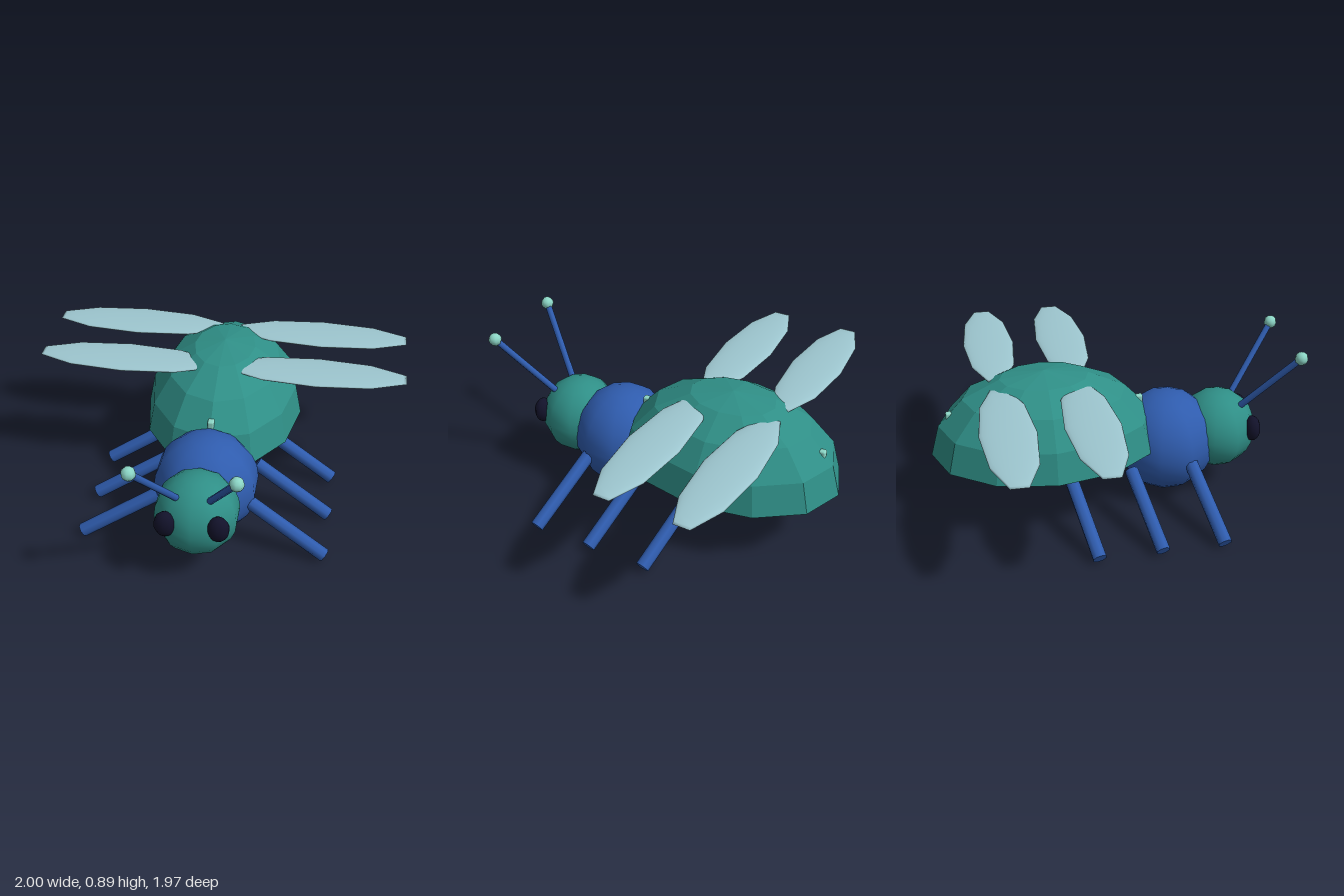
import * as THREE from 'three';
import { RoundedBoxGeometry } from 'three/addons/geometries/RoundedBoxGeometry.js';

const mat = (name, color, flatShading = false) => {
  const m = new THREE.MeshStandardMaterial({ color, flatShading });
  m.name = name;
  return m;
};

export function createModel() {
  const model = new THREE.Group();
  model.name = 'beetle';
  const teal = mat('teal', 0x2f8f87);
  const shellTeal = mat('shellTeal', 0x2f8f87, true);
  const blue = mat('blue', 0x2f5cae);
  const mint = mat('mint', 0x8cd6c6);
  const wingBlue = mat('wingBlue', 0x9dc6cf);
  const black = mat('eyeBlack', 0x12122a);

  const add = (name, geometry, material, pos = [0, 0, 0]) => {
    const mesh = new THREE.Mesh(geometry, material);
    mesh.name = name;
    mesh.position.set(...pos);
    model.add(mesh);
    return mesh;
  };

  // Ten-sided ball with a corner facing front, stretched to its radii
  const ball = (rx, ry, rz, w = 10, h = 12) =>
    new THREE.SphereGeometry(1, w, h).rotateY(Math.PI / 2).scale(rx, ry, rz);

  // Straight round bar between two points
  const rod = (name, a, b, radius, sides, material) => {
    const from = new THREE.Vector3(...a), to = new THREE.Vector3(...b);
    const dir = to.clone().sub(from);
    const mesh = add(name, new THREE.CylinderGeometry(radius, radius, dir.length(), sides), material);
    mesh.position.copy(from).add(to).multiplyScalar(0.5);
    mesh.quaternion.setFromUnitVectors(new THREE.Vector3(0, 1, 0), dir.normalize());
  };

  // Body
  add('thorax', ball(0.28, 0.283, 0.28), blue, [0, 0.32, 0.29]);
  add('head', ball(0.22, 0.22, 0.215), teal, [0, 0.36, 0.58]);

  // Faceted half-dome shell, closed underneath
  const dome = new THREE.SphereGeometry(1, 12, 4, 0, Math.PI * 2, 0, Math.PI / 2);
  add('shell', dome.scale(0.44, 0.44, 0.615), shellTeal, [0, 0.36, -0.375]);
  const base = new THREE.CircleGeometry(1, 12).rotateX(Math.PI / 2);
  add('shellUnderside', base.scale(0.44, 1, 0.615), shellTeal, [0, 0.36, -0.375]);

  // Thin keel running along the middle of the shell
  add('keel', new RoundedBoxGeometry(0.035, 0.32, 1.055, 2, 0.01), mint, [0, 0.445, -0.3725]);

  for (const s of [1, -1]) {
    const side = s > 0 ? 'left' : 'right';

    // Eyes and antennae
    add(`${side}Eye`, ball(0.057, 0.072, 0.045), black, [s * 0.132, 0.4, 0.745]);
    rod(`${side}Antenna`, [s * 0.08, 0.515, 0.68], [s * 0.245, 0.855, 0.945], 0.018, 8, blue);
    add(`${side}AntennaTip`, ball(0.036, 0.036, 0.036, 8, 6), mint, [s * 0.245, 0.855, 0.945]);

    // Wings
    [['Front', -0.21], ['Rear', -0.62]].forEach(([n, z]) =>
      add(`${side}${n}Wing`, ball(0.5, 0.02, 0.14), wingBlue, [s * 0.525, 0.735, z]));

    // Legs
    [['Front', 0.375], ['Middle', 0.045], ['Hind', -0.285]].forEach(([n, z]) =>
      rod(`${side}${n}Leg`, [s * 0.24, 0.28, z], [s * 0.65, 0.035, z + 0.08], 0.037, 8, blue));
  }
  return model;
}
